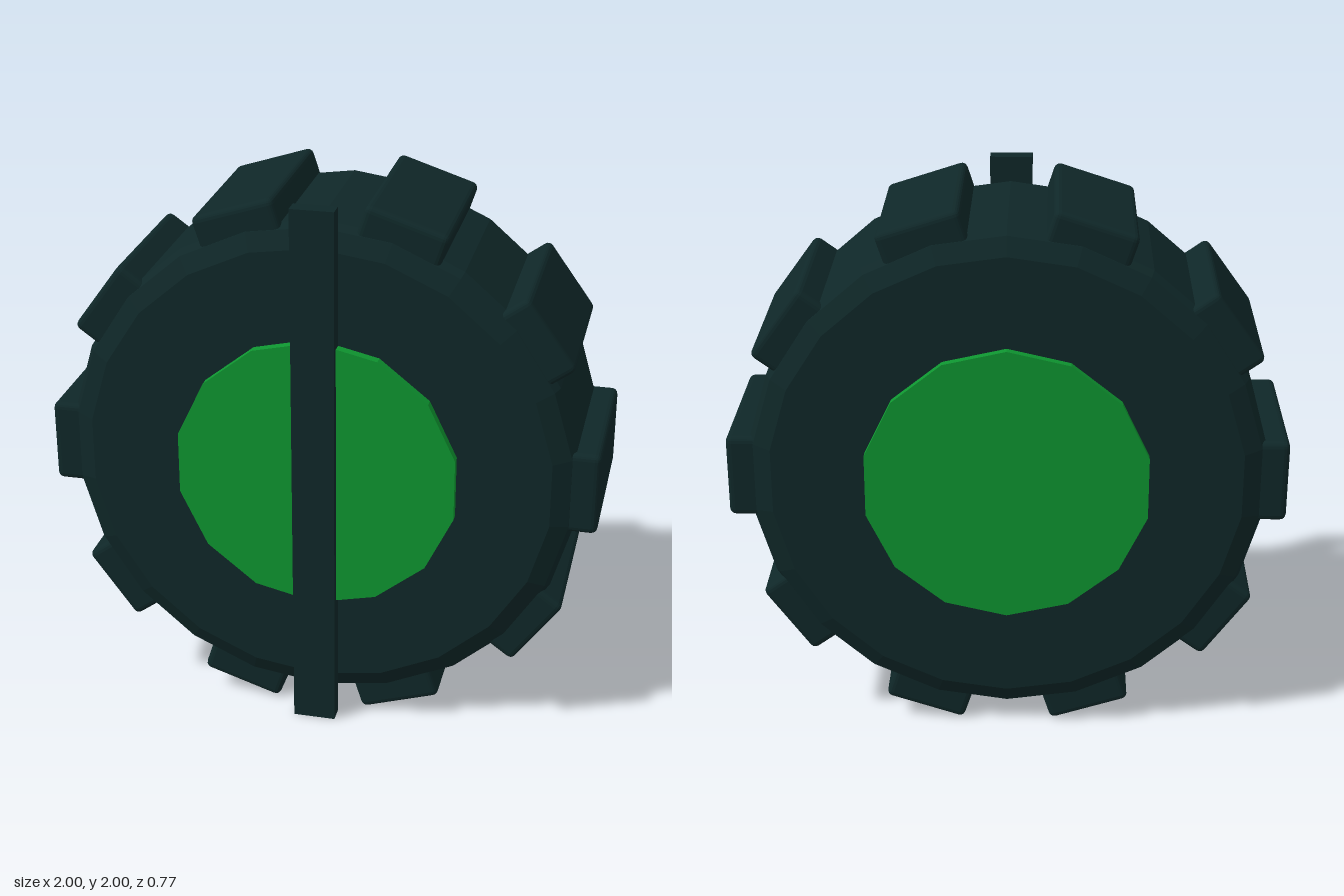
import * as THREE from 'three';
import { RoundedBoxGeometry } from 'three/addons/geometries/RoundedBoxGeometry.js';

export function createModel() {
  const model = new THREE.Group();
  model.name = 'wheel';

  const rubber = new THREE.MeshStandardMaterial({ color: 0x0f2728, flatShading: true });
  rubber.name = 'darkRubber';
  const green = new THREE.MeshStandardMaterial({ color: 0x0e9530, flatShading: true });
  green.name = 'greenHub';

  const add = (name, geometry, material, parent = model) => {
    const mesh = new THREE.Mesh(geometry, material);
    mesh.name = name;
    parent.add(mesh);
    return mesh;
  };

  // Tyre body: bevelled 22-sided drum, axle along z
  const profile = [
    [0, -0.355], [0.845, -0.355], [0.91, -0.322], [0.928, -0.29],
    [0.928, 0.26], [0.91, 0.292], [0.845, 0.325], [0, 0.325],
  ].map(([r, z]) => new THREE.Vector2(r, z));
  const tyre = add('tyre', new THREE.LatheGeometry(profile, 22).rotateX(Math.PI / 2), rubber);
  tyre.position.y = 1;

  // Hub disc, showing on both faces
  const hub = add('hub', new THREE.CylinderGeometry(0.515, 0.515, 0.745, 14).rotateX(Math.PI / 2), green);
  hub.position.set(0, 1, -0.0125);

  // Ten tread lugs around the rim
  const treads = new THREE.Group();
  treads.name = 'treads';
  treads.position.set(0, 1, -0.015);
  model.add(treads);
  const lugGeometry = new RoundedBoxGeometry(0.2, 0.305, 0.612, 2, 0.022);
  for (let i = 0; i < 10; i++) {
    const angle = (i * Math.PI) / 5;
    const lug = add('treadLug', lugGeometry, rubber, treads);
    lug.position.set(Math.cos(angle) * 0.9, Math.sin(angle) * 0.9, 0);
    lug.rotation.z = angle;
  }

  // Upright bar across the front face
  const bar = add('frontBar', new THREE.BoxGeometry(0.155, 2, 0.06), rubber);
  bar.position.set(0, 1, 0.355);

  return model;
}
